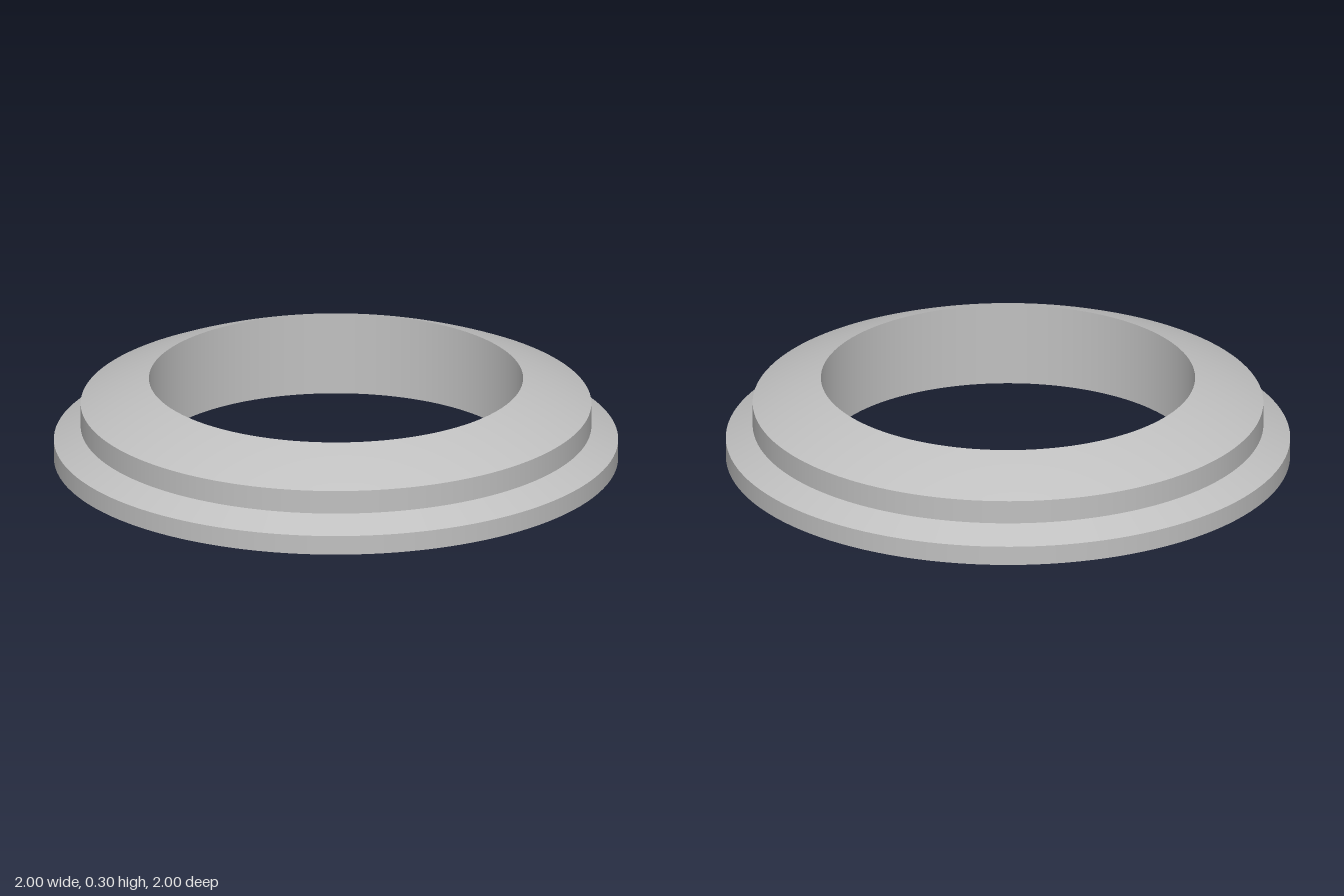
import * as THREE from 'three';

export function createModel() {
  const group = new THREE.Group();
  group.name = 'steppedRing';
  const steel = new THREE.MeshStandardMaterial({ color: 0xc0c0c0 });
  steel.name = 'light grey metal';

  // Key radii and heights of the cross-section
  const bore = 0.663, rim = 1, shoulder = 0.905;
  const rimTop = 0.07, shoulderBase = 0.12, shoulderTop = 0.205, top = 0.3;

  // Slightly domed top: arc of a large sphere centred on the axis
  const centreY = (shoulder ** 2 + shoulderTop ** 2 - bore ** 2 - top ** 2) / (2 * (shoulderTop - top));
  const radius = Math.hypot(shoulder, shoulderTop - centreY);
  const dome = [];
  for (let i = 0; i <= 10; i++) {
    const r = THREE.MathUtils.lerp(shoulder, bore, i / 10);
    dome.push([r, centreY + Math.sqrt(radius ** 2 - r ** 2)]);
  }

  // Each band is lathed separately so the edges between bands stay sharp
  const bands = {
    underside: [[bore, 0], [rim, 0]],
    baseRim: [[rim, 0], [rim, rimTop]],
    baseChamfer: [[rim, rimTop], [shoulder, shoulderBase]],
    shoulderWall: [[shoulder, shoulderBase], [shoulder, shoulderTop]],
    domedTop: dome,
    boreWall: [[bore, top], [bore, 0]],
  };
  for (const [name, profile] of Object.entries(bands)) {
    const points = profile.map(([r, y]) => new THREE.Vector2(r, y));
    const mesh = new THREE.Mesh(new THREE.LatheGeometry(points, 128), steel);
    mesh.name = name;
    group.add(mesh);
  }
  return group;
}
